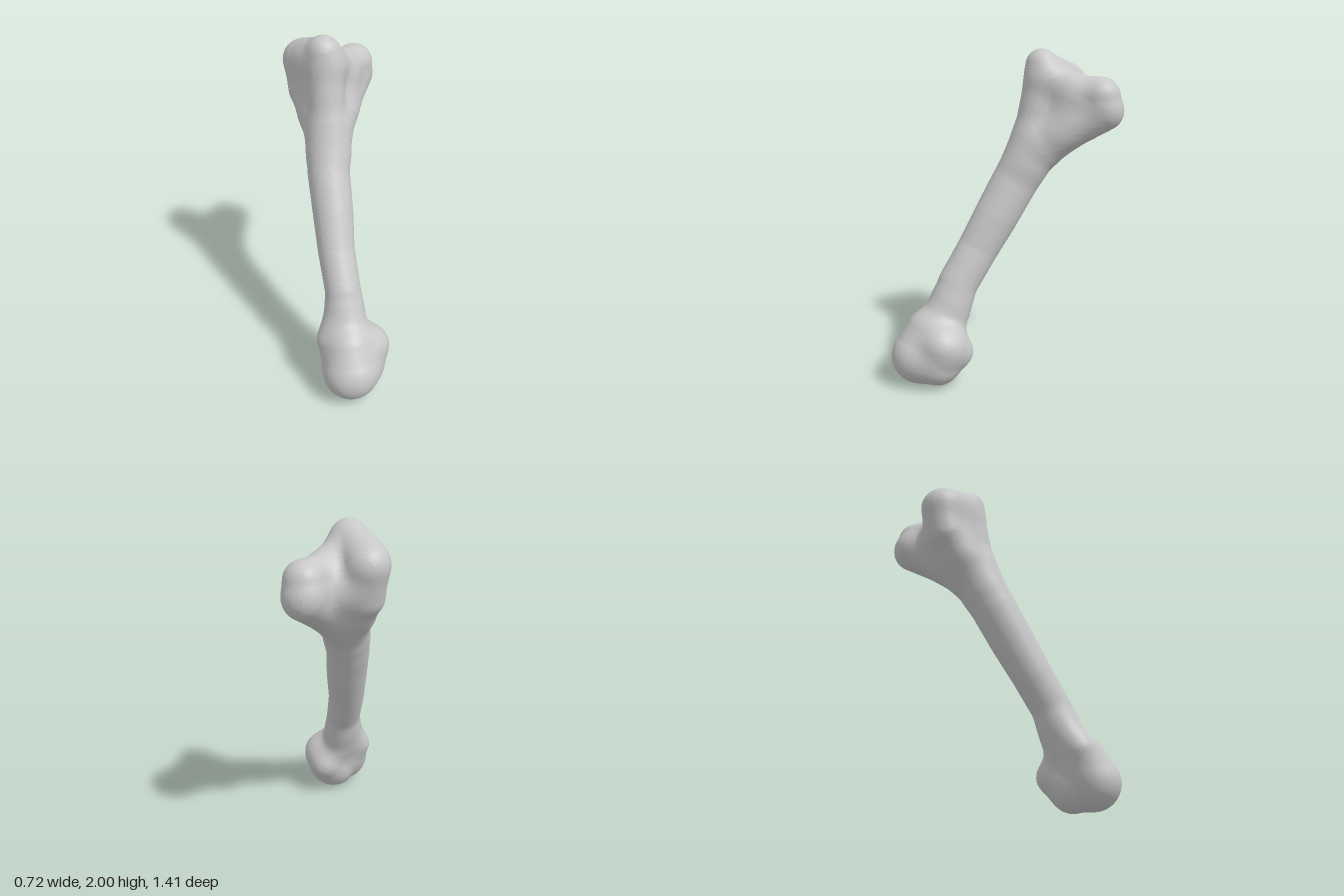
import * as THREE from 'three';

// Every limb is a chain of round joints: [x, y, z, radius]
const SHAFT = [
  [0.11, 0.36, 0.375, 0.09], [0.06, 0.6, 0.295, 0.09], [0.01, 0.8, 0.17, 0.093],
  [-0.02, 1, 0.052, 0.104], [-0.055, 1.2, -0.065, 0.109], [-0.07, 1.42, -0.2, 0.11],
];
const UPPER_END = {
  crest: [[-0.06, 1.32, -0.13, 0.1], [-0.09, 1.8, -0.235, 0.11], [-0.1, 1.91, -0.23, 0.09]],
  sideCondyle: [[-0.1, 1.42, -0.25, 0.09], [-0.22, 1.61, -0.38, 0.11], [-0.24, 1.78, -0.42, 0.115]],
  rearCondyle: [[-0.04, 1.43, -0.26, 0.1], [0.055, 1.64, -0.585, 0.12], [0.065, 1.73, -0.575, 0.095]],
  plateauRim: [[0.05, 1.72, -0.55, 0.09], [-0.08, 1.84, -0.26, 0.09], [-0.24, 1.81, -0.39, 0.085]],
  core: [[-0.1, 1.52, -0.33, 0.11], [-0.11, 1.65, -0.41, 0.115]],
  frontWeb: [[-0.15, 1.5, -0.27, 0.085], [-0.18, 1.84, -0.32, 0.09]],
  sideWeb: [[-0.01, 1.52, -0.33, 0.095], [0, 1.7, -0.4, 0.095]],
};
const LOWER_END = {
  knob: [[0.11, 0.31, 0.475, 0.145], [0.13, 0.17, 0.54, 0.17], [0.15, 0.125, 0.44, 0.12]],
  sideCorner: [[0.22, 0.14, 0.43, 0.105], [0.25, 0.27, 0.41, 0.1]],
  rearCorner: [[0.16, 0.18, 0.4, 0.125], [0.19, 0.21, 0.31, 0.095], [0.22, 0.24, 0.35, 0.1]],
  boss: [[0.06, 0.48, 0.36, 0.085], [-0.02, 0.33, 0.44, 0.062], [0.04, 0.22, 0.47, 0.07]],
};
const shift = (limb, dy, dz) => limb.map(([x, y, z, r]) => [x, y + dy, z + dz, r]);

// Two shafts side by side give an oval section
const LIMBS = [
  shift(SHAFT, 0.014, 0.026), shift(SHAFT, -0.014, -0.026),
  ...Object.values(UPPER_END), ...Object.values(LOWER_END),
];
const BLEND = 0.09, STEP = 0.02;

// Distance to one tapered link between two joints
function link(x, y, z, [ax, ay, az, ra], [bx, by, bz, rb]) {
  const ux = bx - ax, uy = by - ay, uz = bz - az;
  const dot = (x - ax) * ux + (y - ay) * uy + (z - az) * uz;
  const t = Math.min(1, Math.max(0, dot / (ux * ux + uy * uy + uz * uz)));
  return Math.hypot(x - ax - ux * t, y - ay - uy * t, z - az - uz * t) - ra - (rb - ra) * t;
}

// Distance to all limbs, blended softly where they meet
function field(x, y, z) {
  let d = 10;
  for (const limb of LIMBS) {
    let e = 10;
    for (let i = 1; i < limb.length; i++) e = Math.min(e, link(x, y, z, limb[i - 1], limb[i]));
    const h = Math.max(0, BLEND - Math.abs(d - e));
    d = Math.min(d, e) - h * h / (4 * BLEND);
  }
  return d;
}

// Slide a point along the slope of the field until it lies on the surface
function project(p) {
  const e = 0.006;
  for (let k = 0; k < 4; k++) {
    const d = field(...p);
    const g = [0, 1, 2].map((a) => {
      const q = [...p], r = [...p];
      q[a] += e;
      r[a] -= e;
      return (field(...q) - field(...r)) / (2 * e);
    });
    const len2 = Math.max(0.3, g[0] ** 2 + g[1] ** 2 + g[2] ** 2);
    p = p.map((v, a) => v - g[a] * d / len2);
  }
  return p;
}

// Skin the limbs: one vertex per surface cell, one quad per crossed grid edge
function skin() {
  const lo = [-0.46, -0.1, -0.8], n = [46, 110, 80];
  const stride = [1, n[0], n[0] * n[1]];
  const inside = new Uint8Array(n[0] * n[1] * n[2]);
  const each = (from, fn) => {
    for (let k = from; k < n[2] - 1; k++)
      for (let j = from; j < n[1] - 1; j++)
        for (let i = from; i < n[0] - 1; i++) fn([i, j, k], i + j * stride[1] + k * stride[2]);
  };
  each(0, (c, id) => {
    inside[id] = field(...c.map((v, a) => lo[a] + v * STEP)) < 0 ? 1 : 0;
  });
  const positions = [], index = [], cells = new Map();
  const vertex = (c, id) => {
    if (!cells.has(id)) {
      cells.set(id, positions.length / 3);
      positions.push(...project(c.map((v, a) => lo[a] + (v + 0.5) * STEP)));
    }
    return cells.get(id);
  };
  each(1, (c, id) => {
    for (let a = 0; a < 3; a++) {
      if (inside[id] === inside[id + stride[a]]) continue;
      const b = (a + 1) % 3, g = (a + 2) % 3;
      const q = [[0, 0], [1, 0], [1, 1], [0, 1]].map(([s, t]) => {
        const cell = [...c];
        cell[b] -= s;
        cell[g] -= t;
        return vertex(cell, id - s * stride[b] - t * stride[g]);
      });
      if (!inside[id]) q.reverse();
      index.push(q[0], q[1], q[2], q[0], q[2], q[3]);
    }
  });
  const geometry = new THREE.BufferGeometry();
  geometry.setAttribute('position', new THREE.Float32BufferAttribute(positions, 3));
  geometry.setIndex(index);
  geometry.computeVertexNormals();
  return geometry;
}

export function createModel() {
  const group = new THREE.Group();
  group.name = 'bone';
  const boneGrey = new THREE.MeshStandardMaterial({ color: 0xc8c8c8 });
  boneGrey.name = 'boneGrey';
  const bone = new THREE.Mesh(skin(), boneGrey);
  bone.name = 'legBone';
  group.add(bone);
  return group;
}
